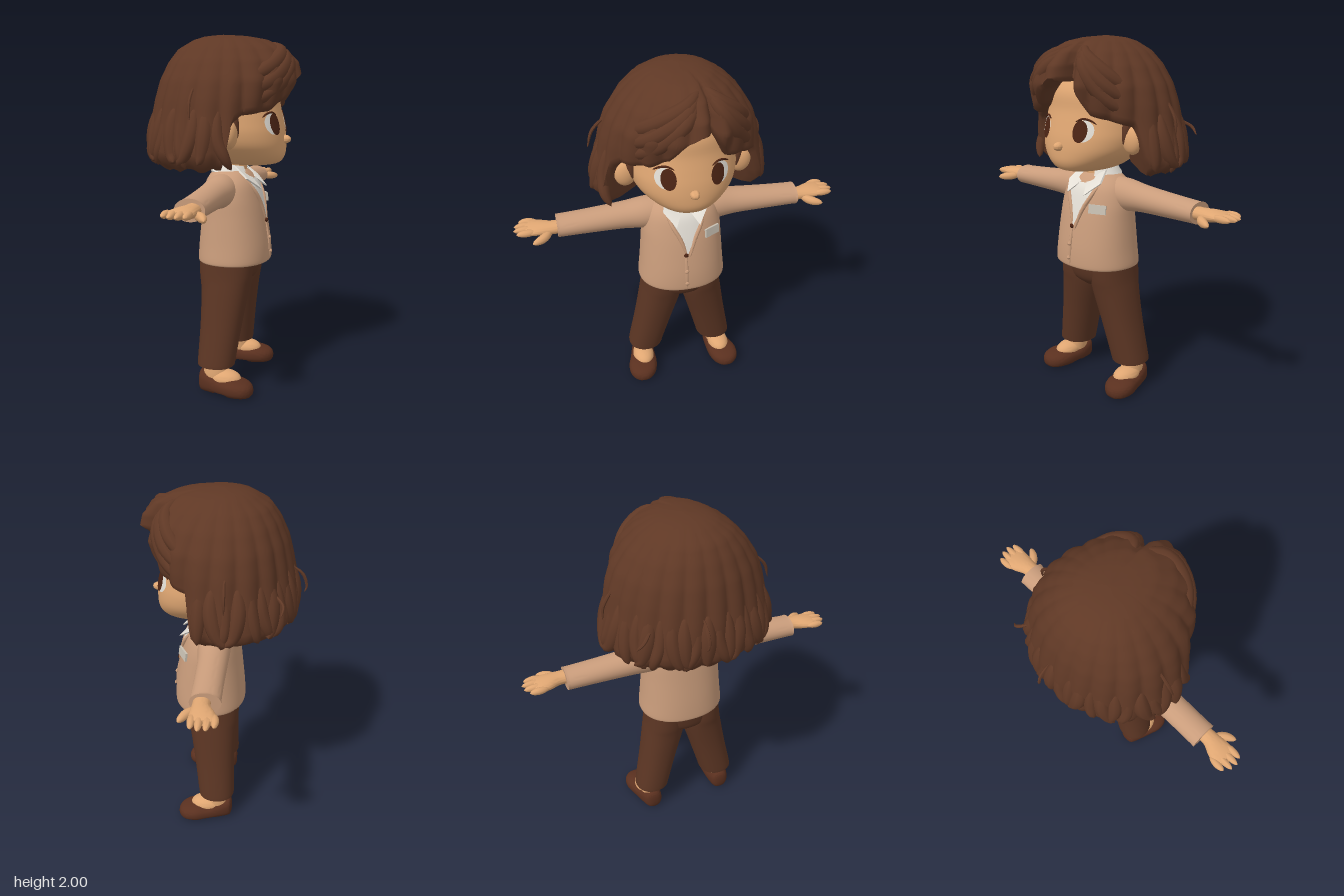
import * as THREE from 'three';
import { mergeVertices, toCreasedNormals } from 'three/addons/utils/BufferGeometryUtils.js';

const V = (x, y, z) => new THREE.Vector3(x, y, z);
const material = (name, color, side = THREE.FrontSide) => {
  const m = new THREE.MeshStandardMaterial({ color, side });
  m.name = name;
  return m;
};

// Piecewise linear lookup in [[key, value], ...] with rising keys
function lookup(table, k) {
  if (k <= table[0][0]) return table[0][1];
  for (let i = 1; i < table.length; i++) {
    const [k0, v0] = table[i - 1], [k1, v1] = table[i];
    if (k <= k1) return v0 + (v1 - v0) * (k - k0) / (k1 - k0);
  }
  return table[table.length - 1][1];
}

// Smoothly subdivides section rows [station, centreA, centreB, radiusA, radiusB]
function dense(rows, steps = 5) {
  const out = [], at = i => rows[Math.min(rows.length - 1, Math.max(0, i))];
  for (let i = 0; i < rows.length - 1; i++) for (let s = 0; s < steps; s++) {
    const t = s / steps, [p, q, r, w] = [at(i - 1), at(i), at(i + 1), at(i + 2)];
    out.push(q.map((_, k) => 0.5 * (2 * q[k] + (r[k] - p[k]) * t + (2 * p[k] - 5 * q[k] + 4 * r[k] - w[k]) * t * t
      + (3 * q[k] - p[k] - 3 * r[k] + w[k]) * t * t * t)));
  }
  out.push(rows[rows.length - 1]);
  return out;
}

// Closed grid of rings; ring(i, j) gives a point, running upward and from +z toward +x
function grid(rings, n, point) {
  const pos = [], idx = [];
  for (let i = 0; i < rings; i++) for (let j = 0; j < n; j++) pos.push(...point(i, j));
  for (let i = 0; i < rings - 1; i++) for (let j = 0; j < n; j++) {
    const a = i * n + j, b = i * n + (j + 1) % n;
    idx.push(a, b, b + n, a, b + n, a + n);
  }
  const g = new THREE.BufferGeometry();
  g.setAttribute('position', new THREE.Float32BufferAttribute(pos, 3));
  g.setIndex(idx);
  return g;
}

const axes = { y: (s, a, b) => [a, s, b], x: (s, a, b) => [s, b, a], z: (s, a, b) => [b, a, s] };
function loft(rows, axis = 'y', power = 2, n = 40) {
  const first = rows[0], last = rows[rows.length - 1];
  const all = [[...first.slice(0, 3), 0, 0], ...rows, [...last.slice(0, 3), 0, 0]];
  const sp = v => Math.sign(v) * Math.abs(v) ** (2 / power);
  return grid(all.length, n, (i, j) => {
    const [s, a, b, ra, rb] = all[i], t = j / n * Math.PI * 2;
    return axes[axis](s, a + ra * sp(Math.sin(t)), b + rb * sp(Math.cos(t)));
  });
}

// Front surface of a loft along y
function frontZ(rows, power, x, y) {
  const col = k => lookup(rows.map(r => [r[0], r[k]]), y);
  const u = Math.min(1, Math.abs((x - col(1)) / col(3)));
  return col(2) + col(4) * (1 - u ** power) ** (1 / power);
}

// Tube with rounded, closing ends
function lock(points, radius, seg = 16, sides = 10) {
  const curve = new THREE.CatmullRomCurve3(points);
  const g = new THREE.TubeGeometry(curve, seg, 1, sides), p = g.attributes.position, nor = g.attributes.normal;
  for (let i = 0; i <= seg; i++) {
    const c = curve.getPointAt(i / seg), r = radius * Math.sqrt(Math.max(0, Math.sin(Math.PI * i / seg)));
    for (let j = 0; j <= sides; j++) {
      const k = i * (sides + 1) + j;
      p.setXYZ(k, c.x + nor.getX(k) * r, c.y + nor.getY(k) * r, c.z + nor.getZ(k) * r);
    }
  }
  return g;
}

function reshape(g, rule) {
  const p = g.attributes.position;
  for (let i = 0; i < p.count; i++) p.setXYZ(i, ...rule(p.getX(i), p.getY(i), p.getZ(i)));
  return g;
}
const ball = (x, y, z, rx, ry, rz) => new THREE.SphereGeometry(1, 28, 20).scale(rx, ry, rz).translate(x, y, z);

export function createModel() {
  const hair = material('brown hair', 0x5f3825), trouser = material('brown cloth', 0x5b3523);
  const skin = material('skin', 0xdfa672), knit = material('tan knit', 0xc99c7b);
  const white = material('white cloth', 0xe4dfd6, THREE.DoubleSide), dark = material('dark brown', 0x4c2414, THREE.DoubleSide);
  const tagGrey = material('pale grey', 0xcac2b4), shoeBrown = material('shoe brown', 0x5a301f);
  const body = new THREE.Group();
  body.name = 'figure';

  function add(name, geo, mat, mirrored = false, crease = 0.9) {
    let g = geo.clone();
    g.deleteAttribute('normal');
    g.deleteAttribute('uv');
    g = mergeVertices(g);
    if (mirrored) {
      g.scale(-1, 1, 1);
      const a = g.index.array;
      for (let i = 0; i < a.length; i += 3) [a[i], a[i + 1]] = [a[i + 1], a[i]];
    }
    const mesh = new THREE.Mesh(toCreasedNormals(g, crease), mat);
    mesh.name = name;
    body.add(mesh);
  }
  const pair = (name, geo, mat) => { add('left ' + name, geo, mat); add('right ' + name, geo, mat, true); };

  // Head, neck, ears and nose
  const head = dense([[1.285, 0, 0.16, 0.07, 0.1], [1.3, 0, 0.14, 0.14, 0.185], [1.34, 0, 0.12, 0.205, 0.235],
    [1.4, 0, 0.1, 0.262, 0.26], [1.47, 0, 0.08, 0.286, 0.274], [1.54, 0, 0.06, 0.288, 0.28], [1.62, 0, 0.04, 0.283, 0.283],
    [1.72, 0, 0.03, 0.265, 0.28], [1.82, 0, 0.02, 0.21, 0.22], [1.9, 0, 0.02, 0.1, 0.1]]);
  add('head', loft(head, 'y', 2.15, 56), skin, false, 1.5);
  add('neck', new THREE.CylinderGeometry(0.075, 0.085, 0.24, 28).translate(0, 1.22, 0.06), skin);
  add('nose', ball(0, 1.43, 0.358, 0.026, 0.024, 0.034), skin);
  pair('ear', ball(0.312, 1.47, 0.125, 0.06, 0.075, 0.04), skin);

  // Eyes laid on the face
  const disc = (x, y, rx, ry, lift) => reshape(new THREE.RingGeometry(0.001, 1, 32, 4), (u, v) => {
    const px = x + u * rx, py = y + v * ry;
    return [px, py, frontZ(head, 2.15, px, py) + lift];
  });
  pair('eye white', disc(0.143, 1.52, 0.05, 0.056, 0.004), white);
  pair('iris', disc(0.128, 1.518, 0.038, 0.057, 0.008), dark);
  const lash = [[0.095, 1.566], [0.13, 1.582], [0.17, 1.575], [0.2, 1.555]].map(([x, y]) => V(x, y, frontZ(head, 2.15, x, y) + 0.004));
  pair('lash', lock(lash, 0.006), dark);

  // Hair volume: radius from front, side and back outlines
  const ys = [1.27, 1.35, 1.45, 1.55, 1.65, 1.75, 1.85, 1.92, 1.97, 1.99, 2];
  const outline = v => ys.map((y, i) => [y, v[i]]);
  const front = outline([0.3, 0.33, 0.34, 0.36, 0.4, 0.44, 0.415, 0.35, 0.25, 0.14, 0]);
  const side = outline([0.4, 0.475, 0.46, 0.435, 0.415, 0.38, 0.315, 0.245, 0.165, 0.1, 0]);
  const back = outline([0.33, 0.405, 0.4, 0.39, 0.37, 0.345, 0.3, 0.25, 0.165, 0.1, 0]);
  const lower = [[-180, 1.285], [-75, 1.31], [-68, 1.55], [-60, 1.59], [-35, 1.61], [-20, 1.66], [-10, 1.74], [2, 1.79],
    [14, 1.79], [20, 1.72], [30, 1.62], [45, 1.6], [67, 1.56], [75, 1.31], [180, 1.285]];
  const hairRadius = (deg, y) => {
    const a = deg * Math.PI / 180, c = Math.cos(a), s = Math.sin(a);
    const f = lookup(c > 0 ? front : back, y) * (c > 0 && deg > 12 ? 0.92 : 1);
    const r = 1 / Math.hypot(s / Math.max(1e-4, lookup(side, y)), c / Math.max(1e-4, f));
    return r * (1 - 0.15 * Math.exp(-(((deg - 14) / 5) ** 2)) * Math.min(1, (2 - y) * 6));
  };
  const onHair = (deg, y, k) => {
    const r = hairRadius(deg, y) * k, a = deg * Math.PI / 180;
    return V(r * Math.sin(a), y, r * Math.cos(a));
  };
  const N = 200, R = 32;
  const under = [[0.94, -0.018], [0.82, -0.008], [0, 0.035]];
  add('hair', grid(R + 4, N, (i, j) => {
    const k = R + 3 - i, deg = j / N * 360 - 180, a = deg * Math.PI / 180, t = Math.min(1, k / R);
    const end = lookup(lower, deg) + (Math.abs(deg) > 80 ? 0.012 * Math.sin(a * 17) : 0);
    let y = 2 - (2 - end) * t ** 1.7;
    let r = hairRadius(deg, y) * (1 + 0.055 * Math.min(1, t * 1.3) * (Math.abs(Math.sin(a * 10 + 1.1 * t)) - 0.6));
    if (k > R) {
      const [f, dy] = under[k - R - 1];
      r = f ? r * f : 0.25;
      y += dy;
    }
    return [r * Math.sin(a), y, r * Math.cos(a)];
  }), hair, false, 1.1);

  // Swept bangs on both sides of the parting
  for (let i = 0; i < 3; i++) {
    const d = i * 0.06;
    add('left bang lock', lock([[17, 1.95], [25, 1.84 + d / 2], [42, 1.7 + d], [66, 1.6 + d]].map(([a, y]) => onHair(a, y, 0.94)), 0.042), hair);
    add('right bang lock', lock([[11, 1.95], [-8, 1.84 + d / 2], [-32, 1.7 + d], [-62, 1.61 + d]].map(([a, y]) => onHair(a, y, 0.92)), 0.045), hair);
  }
  // Curled ends around the sides and back
  for (let i = 0; i < 24; i++) {
    let a = 78 + i * 204 / 23;
    if (a > 180) a -= 360;
    const w = Math.sin(i * 2.4), tip = 1.295 + 0.02 * w, turn = 5 * Math.sin(i * 1.7);
    add('curled end', lock([onHair(a, 1.62, 0.93), onHair(a, 1.47 + 0.02 * w, 0.95), onHair(a + turn, 1.36, 0.98),
      V(0, 0.02, 0).add(onHair(a + turn * 2, tip, 1.12))], 0.042 + 0.006 * w), hair);
  }
  // Sideburns and loose strands
  pair('sideburn', lock([V(0.28, 1.62, 0.13), V(0.287, 1.54, 0.14), V(0.28, 1.44, 0.15)], 0.026), hair);
  const strands = [[V(-0.36, 1.73, -0.05), V(-0.45, 1.64, -0.05), V(-0.48, 1.55, -0.04)],
    [V(0.39, 1.69, -0.04), V(0.46, 1.58, -0.04), V(0.47, 1.5, -0.04)],
    [V(0.05, 1.6, -0.37), V(0.05, 1.55, -0.43), V(0.05, 1.48, -0.452), V(0.06, 1.45, -0.44)],
    [V(0.28, 1.55, -0.27), V(0.35, 1.5, -0.33), V(0.39, 1.46, -0.32)]];
  for (const s of strands) add('loose strand', lock(s, 0.009, 16, 6), hair);

  // Cardigan
  const torso = dense([[0.735, 0, 0.073, 0.245, 0.2], [0.75, 0, 0.075, 0.252, 0.206], [0.85, 0, 0.075, 0.242, 0.2],
    [1, 0, 0.07, 0.23, 0.18], [1.1, 0, 0.063, 0.222, 0.163], [1.18, 0, 0.055, 0.2, 0.145], [1.23, 0, 0.05, 0.155, 0.115],
    [1.262, 0, 0.045, 0.085, 0.085]]);
  const chest = (x, y, lift) => V(x, y, frontZ(torso, 2.2, x, y) + lift);
  add('cardigan body', loft(torso, 'y', 2.2, 56), knit);
  pair('sleeve', loft(dense([[0.08, 0.035, 1.155, 0.09, 0.085], [0.2, 0.035, 1.148, 0.09, 0.09], [0.32, 0.03, 1.143, 0.082, 0.075],
    [0.5, 0.03, 1.137, 0.078, 0.065], [0.66, 0.03, 1.133, 0.078, 0.058], [0.69, 0.03, 1.133, 0.08, 0.058]]), 'x'), knit);
  pair('neckline band', lock([chest(0.005, 0.95, 0), chest(0.04, 1.06, 0.002), chest(0.085, 1.15, 0.002), chest(0.11, 1.22, 0)], 0.012), knit);
  add('front band', lock([chest(-0.015, 0.98, 0), chest(-0.015, 0.86, 0), chest(-0.015, 0.74, 0)], 0.01), knit);
  add('button', ball(...chest(-0.015, 0.97, 0.006), 0.013, 0.013, 0.009), dark);
  for (const y of [0.87, 0.79]) add('lower button', ball(...chest(-0.015, y, 0.01), 0.012, 0.012, 0.007), knit);

  // Shirt front, collar and name tag
  const shirt = reshape(new THREE.PlaneGeometry(2, 1, 12, 16), (u, v) => {
    const t = v + 0.5, x = u * (0.004 + 0.095 * t) - 0.008 * (1 - t);
    return chest(x, 0.975 + 0.235 * t, 0.005).toArray();
  });
  add('shirt front', shirt, white);
  const band = [[0.08, 1.215], [0.118, 1.2], [0.124, 1.212], [0.09, 1.272], [0.08, 1.268], [0.08, 1.215]].map(p => new THREE.Vector2(...p));
  add('collar', reshape(new THREE.LatheGeometry(band, 40, 0.45, Math.PI * 2 - 0.9), (x, y, z) => [x, y + 0.02 - z * 0.2, z + 0.05]), white);
  const flap = new THREE.Shape([[0.095, 1.28], [0.012, 1.225], [0.065, 1.155], [0.122, 1.215]].map(p => new THREE.Vector2(...p)));
  pair('collar flap', reshape(new THREE.ExtrudeGeometry(flap, { depth: 0.014, bevelEnabled: false }),
    (x, y, z) => [x, y, z + 0.226 - (y - 1.16) * 1.15]), white);
  add('name tag', new THREE.BoxGeometry(0.098, 0.05, 0.012).rotateX(-0.15).rotateY(0.5).rotateZ(-0.04)
    .translate(...chest(0.142, 1.083, 0.016)), tagGrey);

  // Hands with four fingers and a thumb
  pair('palm', loft(dense([[0.66, 0.045, 1.135, 0.045, 0.036], [0.72, 0.045, 1.135, 0.046, 0.034], [0.78, 0.033, 1.136, 0.062, 0.032],
    [0.83, 0.026, 1.138, 0.07, 0.024], [0.86, 0.026, 1.138, 0.064, 0.016]]), 'x'), skin);
  [[-0.034, 0.895], [0.004, 0.92], [0.042, 0.925], [0.078, 0.91]].forEach(([z, tip]) =>
    pair('finger', lock([V(0.79, 1.138, z * 0.9 + 0.003), V(0.85, 1.14, z), V(tip, 1.138, z)], 0.02, 12), skin));
  pair('thumb', lock([V(0.72, 1.125, 0.06), V(0.77, 1.118, 0.115), V(0.83, 1.112, 0.148)], 0.024, 12), skin);

  // Trousers
  add('trouser seat', loft(dense([[0.6, 0, 0.05, 0.1, 0.1], [0.64, 0, 0.052, 0.2, 0.143], [0.7, 0, 0.055, 0.228, 0.16], [0.77, 0, 0.055, 0.225, 0.165]])), trouser);
  pair('trouser leg', loft(dense([[0.165, 0.218, 0.025, 0.102, 0.104], [0.18, 0.217, 0.025, 0.104, 0.107], [0.4, 0.166, 0.04, 0.113, 0.12],
    [0.58, 0.126, 0.05, 0.123, 0.138], [0.66, 0.118, 0.052, 0.118, 0.15], [0.76, 0.115, 0.055, 0.112, 0.155]]), 'y', 2.2), trouser);

  // Feet and slip-on shoes
  pair('ankle', loft(dense([[0.07, 0.238, 0.03, 0.055, 0.075], [0.12, 0.235, 0.025, 0.058, 0.07], [0.22, 0.225, 0.02, 0.055, 0.055]])), skin);
  pair('foot', ball(0.248, 0.085, 0.085, 0.064, 0.05, 0.092), skin);
  const shoe = loft(dense([[-0.07, 0.06, 0.235, 0.035, 0.025], [-0.055, 0.06, 0.235, 0.062, 0.05], [0, 0.052, 0.24, 0.058, 0.067],
    [0.07, 0.044, 0.25, 0.05, 0.079], [0.14, 0.044, 0.262, 0.052, 0.089], [0.2, 0.04, 0.268, 0.045, 0.078],
    [0.235, 0.036, 0.27, 0.034, 0.05], [0.25, 0.034, 0.27, 0.016, 0.02]]), 'z', 2.5);
  pair('shoe', reshape(shoe, (x, y, z) => [x, Math.max(y, z > 0.035 && z < 0.1 ? 0.018 : 0), z]), shoeBrown);

  // The figure faces +x with its arms along z
  body.rotation.y = Math.PI / 2;
  const model = new THREE.Group();
  model.add(body);
  return model;
}
